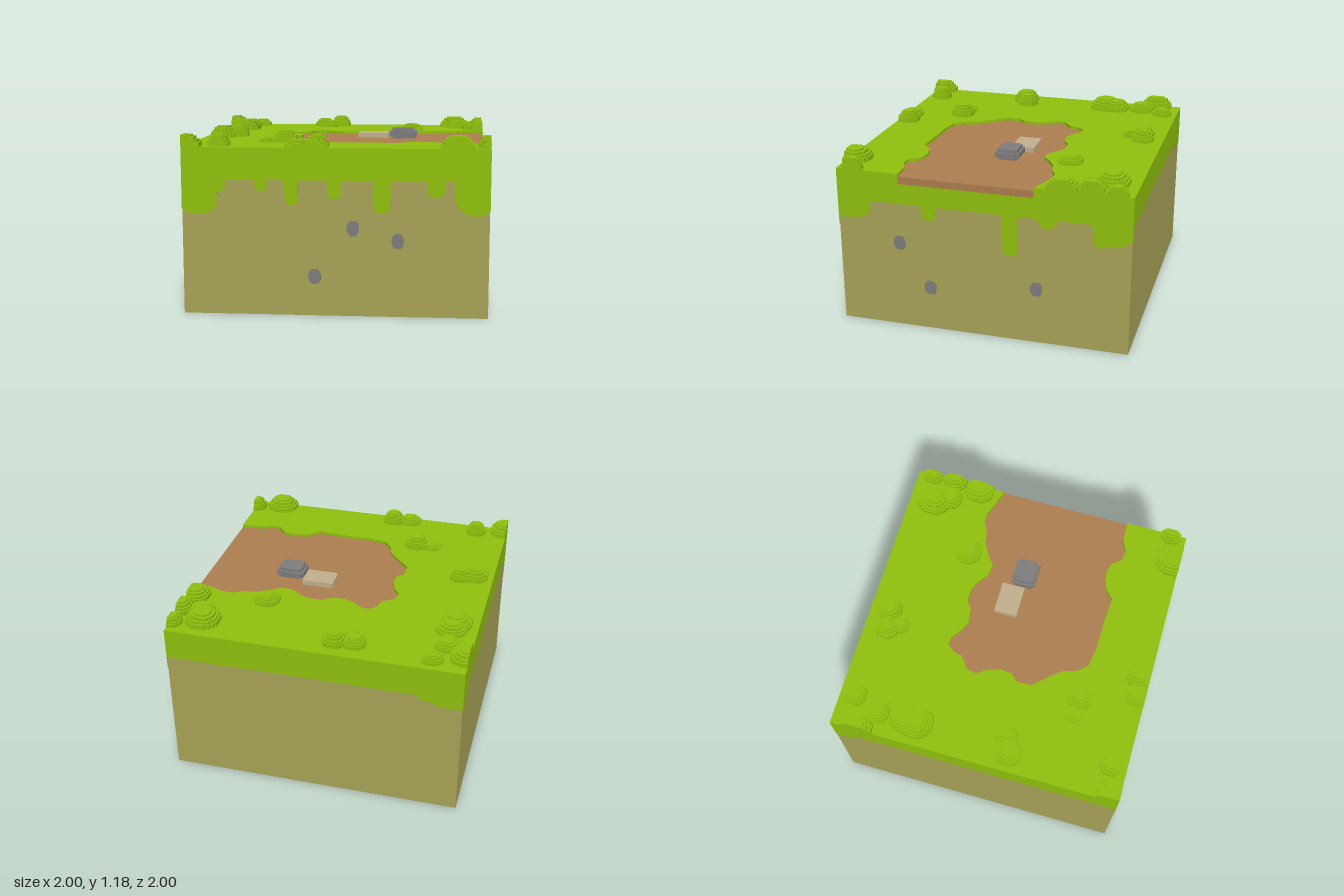
import * as THREE from 'three';

const mat = (name, color, side = THREE.FrontSide) => {
  const m = new THREE.MeshStandardMaterial({ color, side });
  m.name = name;
  return m;
};

// Octagon-like outline with stair-stepped corners, kept inside the block
const QUAD = [[1, 0.45], [0.88, 0.45], [0.88, 0.7], [0.7, 0.7], [0.7, 0.88], [0.45, 0.88], [0.45, 1]];
function steppedShape(cx, cy, rx, ry) {
  const clamp = v => THREE.MathUtils.clamp(v, -1, 1);
  const pts = [];
  for (let q = 0; q < 4; q++) {
    for (const [a, b] of QUAD) {
      const [u, v] = [[a, b], [-b, a], [-a, -b], [b, -a]][q];
      const p = new THREE.Vector2(clamp(cx + u * rx), clamp(cy + v * ry));
      if (!pts.length || pts[pts.length - 1].distanceTo(p) > 1e-4) pts.push(p);
    }
  }
  return new THREE.Shape(pts);
}
const polygon = pts => new THREE.Shape(pts.map(([x, y]) => new THREE.Vector2(x, y)));

// Upright slab from a ground-plan shape drawn in (x, -z)
function slab(shape, y0, y1) {
  const g = new THREE.ExtrudeGeometry(shape, { depth: y1 - y0, bevelEnabled: false });
  return g.rotateX(-Math.PI / 2).translate(0, y0, 0);
}

// Thin plate on a side face; angle turns the front face towards that side
const PLATE = 0.003;
function plate(shape, angle) {
  const g = new THREE.ExtrudeGeometry(shape, { depth: PLATE, bevelEnabled: false });
  return g.translate(0, 0, 1 - PLATE).rotateY(angle);
}

// Outline of the bare earth, as [x, z], open to the +x edge
const EARTH = [
  [1, -0.355], [0.9, -0.39], [0.8, -0.425], [0.72, -0.425], [0.66, -0.39], [0.56, -0.37], [0.47, -0.32],
  [0.42, -0.275], [0.34, -0.28], [0.25, -0.345], [0.19, -0.365], [0.1, -0.365], [0.05, -0.325], [-0.05, -0.31],
  [-0.12, -0.345], [-0.19, -0.395], [-0.25, -0.395], [-0.29, -0.34], [-0.3, -0.285], [-0.385, -0.22],
  [-0.395, -0.15], [-0.355, -0.1], [-0.32, 0], [-0.33, 0.08], [-0.375, 0.125], [-0.375, 0.23], [-0.3, 0.31],
  [-0.215, 0.41], [-0.19, 0.5], [-0.13, 0.57], [0, 0.59], [0.245, 0.595], [0.39, 0.605], [0.47, 0.535],
  [0.57, 0.515], [0.65, 0.53], [0.71, 0.6], [0.78, 0.605], [0.86, 0.57], [1, 0.565],
].map(([x, z]) => [x, -z]);

// Lower edge of the grass on each side, left to right as seen from outside
const DRIPS = {
  front: [0, [
    [-1, 0.7], [-0.95, 0.67], [-0.83, 0.67], [-0.77, 0.71], [-0.77, 0.81], [-0.72, 0.82], [-0.71, 0.89],
    [-0.53, 0.89], [-0.52, 0.84], [-0.5, 0.82], [-0.46, 0.82], [-0.44, 0.84], [-0.44, 0.89],
    [-0.33, 0.89], [-0.32, 0.75], [-0.3, 0.73], [-0.26, 0.73], [-0.24, 0.75], [-0.24, 0.89],
    [-0.05, 0.89], [-0.04, 0.79], [-0.02, 0.77], [0.02, 0.77], [0.04, 0.79], [0.04, 0.89],
    [0.25, 0.89], [0.25, 0.71], [0.28, 0.68], [0.33, 0.68], [0.36, 0.71], [0.36, 0.89],
    [0.59, 0.89], [0.6, 0.81], [0.63, 0.79], [0.68, 0.79], [0.71, 0.82], [0.71, 0.89],
    [0.77, 0.89], [0.78, 0.75], [0.82, 0.7], [0.87, 0.67], [0.95, 0.67], [1, 0.7],
  ]],
  plusX: [Math.PI / 2, [
    [-1, 0.74], [-0.95, 0.76], [-0.85, 0.76], [-0.79, 0.79], [-0.77, 0.83], [-0.77, 0.89],
    [-0.41, 0.89], [-0.41, 0.82], [-0.38, 0.79], [-0.34, 0.79], [-0.31, 0.82], [-0.3, 0.89],
    [0.14, 0.89], [0.15, 0.64], [0.17, 0.61], [0.23, 0.61], [0.25, 0.64], [0.25, 0.89],
    [0.37, 0.89], [0.39, 0.86], [0.41, 0.83], [0.48, 0.83], [0.51, 0.87], [0.52, 0.89],
    [0.74, 0.89], [0.75, 0.75], [0.79, 0.73], [0.83, 0.75], [0.9, 0.75], [0.95, 0.77], [1, 0.8],
  ]],
  back: [Math.PI, [[-1, 0.89], [0.7, 0.89], [0.73, 0.85], [0.8, 0.85], [0.84, 0.82], [1, 0.82]]],
  minusX: [-Math.PI / 2, [[-1, 0.82], [-0.92, 0.82], [-0.86, 0.84], [-0.84, 0.89], [1, 0.89]]],
};

// Bushes: x, z, radius, height
const BUSHES = [
  [-0.99, -0.82, 0.11, 0.08], [-0.77, -0.89, 0.07, 0.05], [-0.84, -0.72, 0.085, 0.06],
  [-0.83, -0.52, 0.1, 0.07], [-0.84, -0.44, 0.11, 0.08], [-0.25, -0.84, 0.075, 0.06],
  [-0.2, -0.76, 0.06, 0.045], [-0.12, -0.855, 0.075, 0.08], [0.79, -0.82, 0.11, 0.08],
  [0.84, -0.72, 0.085, 0.06], [0.99, -0.89, 0.07, 0.06], [0.99, -0.72, 0.085, 0.08],
  [0.96, -0.53, 0.1, 0.07], [0.46, -0.465, 0.085, 0.05], [-0.87, 0.21, 0.09, 0.08],
  [-0.77, 0.17, 0.07, 0.08], [-0.49, 0.575, 0.065, 0.03], [-0.37, 0.575, 0.08, 0.08],
  [-0.99, 0.95, 0.11, 0.08], [-0.77, 0.89, 0.07, 0.08], [-0.25, 0.94, 0.075, 0.05],
  [-0.12, 0.92, 0.075, 0.08], [0.79, 0.95, 0.11, 0.08], [0.99, 0.89, 0.07, 0.08],
];
// Bush tiers: radius fraction, height fraction
const TIERS = [[1, 0.4], [0.88, 0.6], [0.72, 0.85], [0.52, 1]];

export function createModel() {
  const root = new THREE.Group();
  root.name = 'gardenBlock';
  const grass = mat('grass green', 0x8fbf0d);
  const soil = mat('olive soil', 0xa6a256);
  const earth = mat('brown earth', 0xab7d4f);
  const stone = mat('grey stone', 0x7c7c7c);
  const sand = mat('pale stone', 0xbfae8c);
  const add = (name, geometry, material, parent = root) => {
    const mesh = new THREE.Mesh(geometry, material);
    mesh.name = name;
    parent.add(mesh);
    return mesh;
  };

  // Block: soil, grass layer, and the sunken bare earth
  const inner = 2 - 2 * PLATE;
  add('soilBlock', new THREE.BoxGeometry(inner, 0.9, inner).translate(0, 0.45, 0), soil);
  add('grassBase', new THREE.BoxGeometry(2, 0.13, 2).translate(0, 0.965, 0), grass);
  add('grassTop', slab(polygon([[1, 1], [-1, 1], [-1, -1], [1, -1], ...[...EARTH].reverse()]), 1.03, 1.1), grass);
  add('earthPatch', slab(polygon(EARTH), 1.03, 1.08), earth);

  // Grass hanging over each side
  for (const [side, [angle, edge]] of Object.entries(DRIPS)) {
    add(side + 'GrassDrips', plate(polygon([...edge, [1, 0.9], [-1, 0.9]]), angle), grass);
  }

  // Pebbles set in the soil
  const pebbles = [
    [0, 0.12, 0.58], [0, 0.41, 0.5], [0, -0.13, 0.26],
    [Math.PI / 2, -0.57, 0.61], [Math.PI / 2, -0.36, 0.305], [Math.PI / 2, 0.375, 0.39],
  ];
  for (const [angle, u, y] of pebbles) add('pebble', plate(steppedShape(u, y, 0.04, 0.05), angle), stone);

  // Stepped bushes, cut off flush at the block's edges
  for (const [x, z, r, h] of BUSHES) {
    const bush = new THREE.Group();
    bush.name = 'bush';
    root.add(bush);
    let y = 1.09;
    for (const [f, top] of TIERS) {
      add('bushTier', slab(steppedShape(x, -z, r * f, r * f), y, 1.1 + h * top), grass, bush);
      y = 1.1 + h * top;
    }
  }

  // Flat slab and rock lying on the earth
  add('flatStone', new THREE.BoxGeometry(0.22, 0.04, 0.16).translate(0.19, 1.095, -0.085), sand);
  const rock = new THREE.Group();
  rock.name = 'rock';
  root.add(rock);
  for (const [rx, rz, y0, y1] of [[0.085, 0.07, 1.07, 1.095], [0.098, 0.083, 1.095, 1.13], [0.08, 0.068, 1.13, 1.152]]) {
    const s = polygon([[1, 0.75], [0.85, 0.75], [0.85, 1], [-0.85, 1], [-0.85, 0.75], [-1, 0.75],
      [-1, -0.75], [-0.85, -0.75], [-0.85, -1], [0.85, -1], [0.85, -0.75], [1, -0.75]]
      .map(([a, b]) => [0.41 + a * rx, 0.028 + b * rz]));
    add('rockTier', slab(s, y0, y1), stone, rock);
  }
  return root;
}
